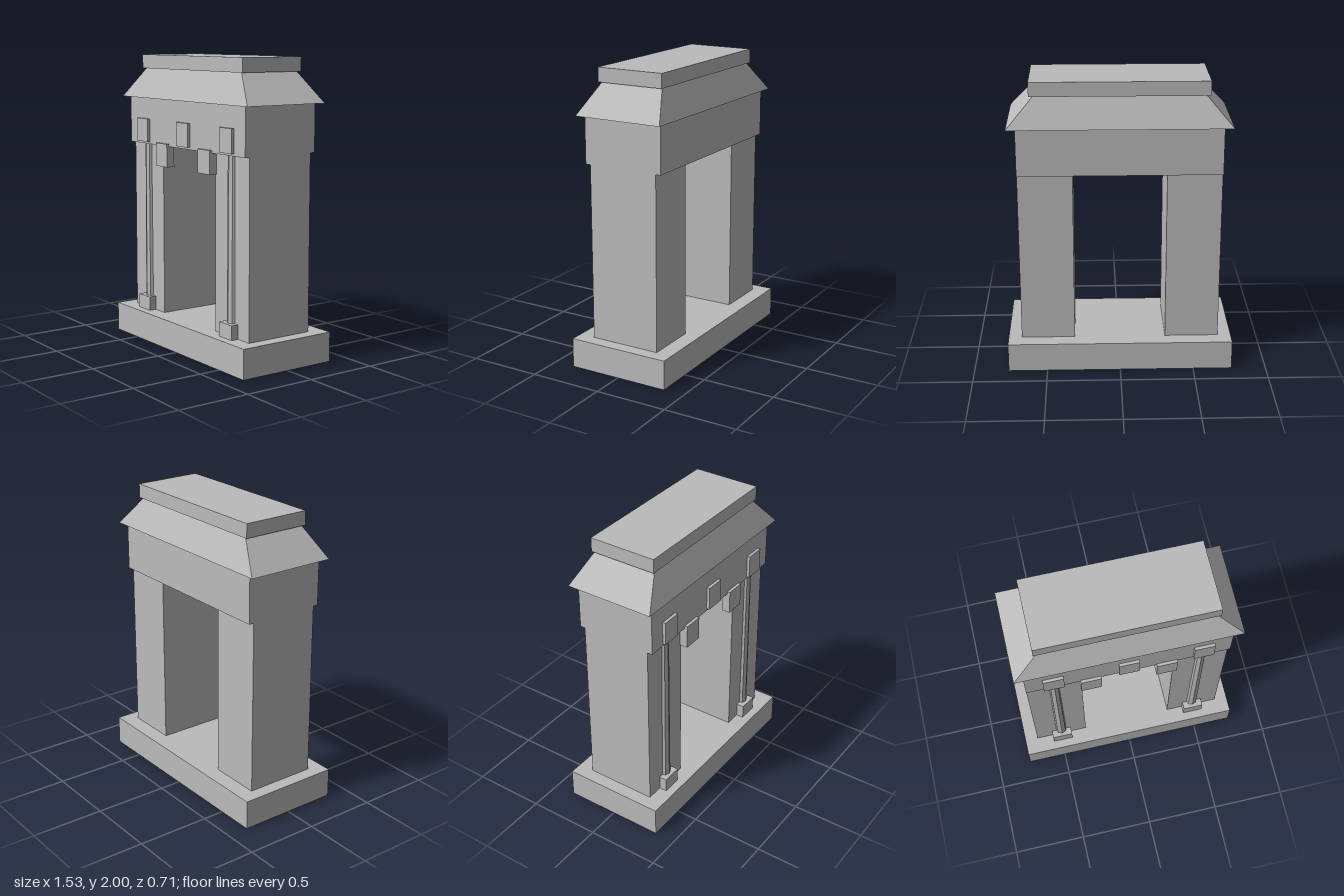
import * as THREE from 'three';

export function createModel() {
  const model = new THREE.Group();
  model.name = 'gateway';
  const stone = new THREE.MeshStandardMaterial({ color: 0xbbbbbb });
  stone.name = 'grey stone';

  function add(name, geometry) {
    const mesh = new THREE.Mesh(geometry, stone);
    mesh.name = name;
    model.add(mesh);
    return mesh;
  }

  // Box given by its extents on each axis
  function block(name, [x0, x1], [y0, y1], [z0, z1]) {
    const mesh = add(name, new THREE.BoxGeometry(x1 - x0, y1 - y0, z1 - z0));
    mesh.position.set((x0 + x1) / 2, (y0 + y1) / 2, (z0 + z1) / 2);
    return mesh;
  }

  // Plinth, lintel and crowning slab
  block('base', [-0.765, 0.765], [0, 0.2], [-0.355, 0.355]);
  block('lintel', [-0.675, 0.675], [1.385, 1.705], [-0.28, 0.28]);
  block('capSlab', [-0.585, 0.585], [1.905, 2], [-0.235, 0.235]);

  // Hipped roof: a box whose top is drawn inward
  const roof = new THREE.BoxGeometry(1.47, 0.2, 0.62);
  const p = roof.attributes.position;
  for (let i = 0; i < p.count; i++) {
    if (p.getY(i) > 0) {
      p.setX(i, Math.sign(p.getX(i)) * 0.557);
      p.setZ(i, Math.sign(p.getZ(i)) * 0.222);
    }
  }
  roof.computeVertexNormals();
  add('roof', roof).position.y = 1.805;

  // Central plaque
  block('centrePlaque', [-0.067, 0.067], [1.4, 1.56], [0.26, 0.3]);

  // Paired piers with engaged columns, plaques and corbels
  for (const [side, s] of [['left', 1], ['right', -1]]) {
    const span = (a, b) => (s > 0 ? [a, b] : [-b, -a]);
    block(side + 'Pier', span(0.31, 0.675), [0.2, 1.385], [-0.245, 0.245]);
    block(side + 'ColumnFoot', span(0.422, 0.56), [0.2, 0.297], [0.2, 0.297]);
    block(side + 'Plaque', span(0.425, 0.56), [1.4, 1.56], [0.26, 0.3]);
    block(side + 'Corbel', span(0.183, 0.32), [1.245, 1.403], [0.24, 0.3]);

    const shaft = new THREE.CylinderGeometry(0.035, 0.04, 1.09, 8).toNonIndexed();
    shaft.computeVertexNormals();
    add(side + 'Column', shaft).position.set(s * 0.491, 0.842, 0.236);
  }

  return model;
}
